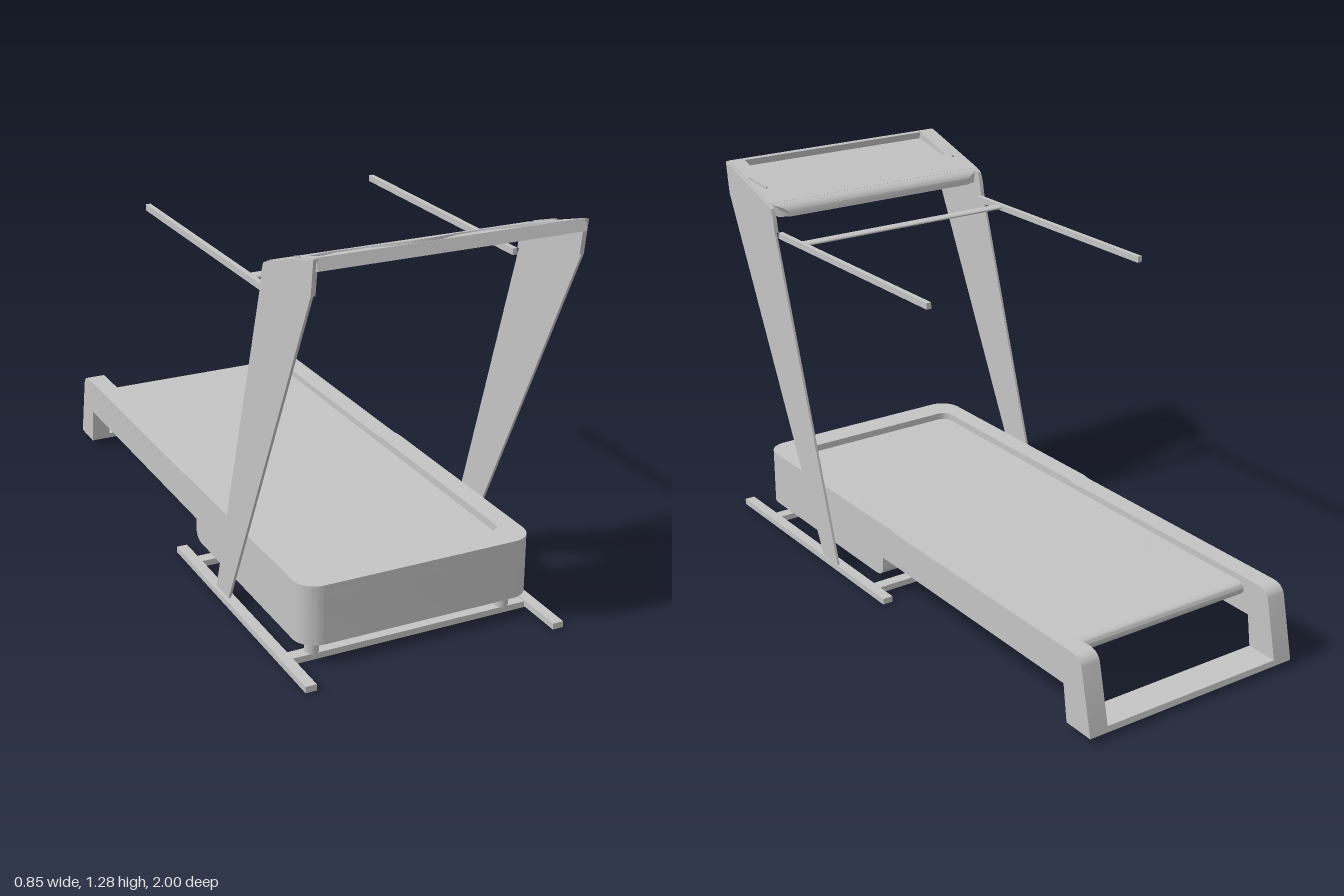
import * as THREE from 'three';
import { toCreasedNormals } from 'three/addons/utils/BufferGeometryUtils.js';

const grey = new THREE.MeshStandardMaterial({ color: 0xc4c4c4 });
grey.name = 'plain grey';

const toShape = (pts) => new THREE.Shape(pts.map(([a, b]) => new THREE.Vector2(a, b)));
const opts = (depth) => ({ depth, bevelEnabled: false, curveSegments: 12 });

export function createModel() {
  const model = new THREE.Group();
  model.name = 'treadmill';
  const upper = new THREE.Group();
  upper.name = 'machine';
  upper.position.x = 0.005;
  model.add(upper);

  function add(name, geo, parent = upper) {
    const mesh = new THREE.Mesh(geo, grey);
    mesh.name = name;
    parent.add(mesh);
    return mesh;
  }
  function box(name, w, h, d, x, y, z, parent = upper) {
    return add(name, new THREE.BoxGeometry(w, h, d).translate(x, y, z), parent);
  }
  // side profile in (z, y), extruded across x and centred on x
  function profileGeometry(shape, width, x) {
    const g = new THREE.ExtrudeGeometry(shape, opts(width));
    return g.rotateY(-Math.PI / 2).translate(x + width / 2, 0, 0);
  }
  function profile(name, shape, width, x) {
    return add(name, toCreasedNormals(profileGeometry(shape, width, x), 0.6));
  }
  // plan outline in (x, z), extruded down from the given top height
  function plan(name, shape, top, height, parent = upper) {
    const g = new THREE.ExtrudeGeometry(shape, opts(height));
    g.rotateX(Math.PI / 2).translate(0, top, 0);
    return add(name, toCreasedNormals(g, 0.6), parent);
  }

  const half = 0.385, inner = 0.32, r = 0.07;

  // motor housing below the belt, with rounded front corners
  const housing = new THREE.Shape();
  housing.moveTo(-half, 0.14);
  housing.lineTo(half, 0.14);
  housing.lineTo(half, 0.87 - r);
  housing.absarc(half - r, 0.87 - r, r, 0, Math.PI / 2, false);
  housing.absarc(-half + r, 0.87 - r, r, Math.PI / 2, Math.PI, false);
  plan('motorHousing', housing, 0.22, 0.15);

  // rounded rear lip of the housing
  const lip = new THREE.Shape();
  lip.moveTo(0.14, 0.07);
  lip.lineTo(0.14, 0.2);
  lip.lineTo(0.095, 0.2);
  lip.lineTo(0.095, 0.11);
  lip.quadraticCurveTo(0.095, 0.07, 0.14, 0.07);
  profile('housingLip', lip, half * 2, 0);

  // frame rim around the front end of the belt
  const rim = new THREE.Shape();
  rim.moveTo(half, 0.6);
  rim.lineTo(half, 0.87 - r);
  rim.absarc(half - r, 0.87 - r, r, 0, Math.PI / 2, false);
  rim.absarc(-half + r, 0.87 - r, r, Math.PI / 2, Math.PI, false);
  rim.lineTo(-half, 0.6);
  rim.lineTo(-inner, 0.6);
  rim.lineTo(-inner, 0.74);
  rim.quadraticCurveTo(-inner, 0.78, -inner + 0.04, 0.78);
  rim.lineTo(inner - 0.04, 0.78);
  rim.quadraticCurveTo(inner, 0.78, inner, 0.74);
  rim.lineTo(inner, 0.6);
  plan('frontRim', rim, 0.26, 0.04);

  // side rails running down into the rear feet
  const rail = new THREE.Shape();
  rail.moveTo(0.6, 0.14);
  rail.lineTo(0.6, 0.26);
  rail.lineTo(0.03, 0.26);
  rail.lineTo(0.0, 0.256);
  rail.lineTo(-0.91, 0.256);
  rail.quadraticCurveTo(-0.945, 0.256, -0.955, 0.225);
  rail.lineTo(-1, 0.02);
  rail.lineTo(-0.89, 0.02);
  rail.lineTo(-0.873, 0.14);
  for (const s of [-1, 1]) profile('sideRail', rail, half - inner, s * (half + inner) / 2);

  // rear crossbar between the feet
  profile('rearCrossbar', toShape([[-1, 0.02], [-0.89, 0.02], [-0.887, 0.038], [-0.996, 0.038]]), inner * 2, 0);

  // thin running belt with a rounded rear end
  const belt = new THREE.Shape();
  belt.moveTo(0.79, 0.195);
  belt.lineTo(0.79, 0.237);
  belt.lineTo(-0.829, 0.237);
  belt.absarc(-0.829, 0.216, 0.021, Math.PI / 2, Math.PI * 1.5, false);
  profile('runningBelt', belt, inner * 2 - 0.004, 0);

  // uprights, console cheeks and handrails
  const upright = toShape([[0.42, 0.015], [0.98, 1.17], [0.69, 1.17], [0.668, 1.1], [0.33, 0.015]]);
  const cheek = toShape([[0.995, 1.275], [0.98, 1.17], [0.668, 1.1], [0.678, 1.15], [0.69, 1.178], [0.715, 1.19]]);
  for (const s of [-1, 1]) {
    profile('upright', upright, 0.008, s * 0.415);
    profile('consoleCheek', cheek, 0.014, s * 0.412);
    box('handrail', 0.016, 0.02, 0.89, s * 0.397, 1.09, 0.225);
  }
  // flattened round bar joining the handrails
  const bar = new THREE.CylinderGeometry(0.02, 0.02, 0.79, 20).rotateZ(Math.PI / 2).scale(1, 0.35, 1);
  add('handrailCrossbar', bar.translate(0, 1.09, 0.54));

  // sloping console
  const deck = new THREE.Group();
  deck.name = 'console';
  deck.position.set(0, 1.19, 0.71);
  deck.rotation.x = -0.301;
  upper.add(deck);
  const outline = [[-0.41, 0.295], [-0.41, 0], [0.41, 0], [0.41, 0.295]];
  const tray = [[-0.355, 0.282], [-0.355, 0.115], [-0.24, 0.055], [-0.14, 0.06], [-0.045, 0.115],
    [0.045, 0.115], [0.14, 0.06], [0.24, 0.055], [0.355, 0.115], [0.355, 0.282]];
  const top = toShape(outline);
  top.holes.push(toShape(tray));
  plan('consoleTop', top, 0, 0.03, deck);
  plan('consoleUnderside', toShape(outline), -0.03, 0.006, deck);

  // display floor, nearly flush at the wavy edge and deeper towards the front
  const floor = new THREE.ExtrudeGeometry(toShape(tray), opts(0.004)).rotateX(Math.PI / 2);
  const p = floor.attributes.position;
  for (let i = 0; i < p.count; i++) p.setY(i, p.getY(i) - 0.004 - 0.09 * (p.getZ(i) - 0.055));
  floor.computeVertexNormals();
  add('displayPanel', floor, deck);

  // small grips on either side of the display
  for (const s of [-1, 1]) {
    const grip = box('consoleGrip', 0.008, 0.006, 0.08, 0, 0, 0, deck);
    grip.position.set(s * 0.385, 0.002, 0.13);
    grip.rotation.y = s * 0.3;
  }

  // rounded rear edge of the console, narrowing at its corners
  const edge = new THREE.Shape();
  edge.moveTo(0.712, 1.19);
  edge.quadraticCurveTo(0.675, 1.182, 0.674, 1.146);
  edge.lineTo(0.69, 1.146);
  edge.lineTo(0.723, 1.156);
  const edgeGeo = profileGeometry(edge, 0.82, 0);
  const e = edgeGeo.attributes.position;
  for (let i = 0; i < e.count; i++) {
    const t = THREE.MathUtils.clamp((0.712 - e.getZ(i)) / 0.038, 0, 1);
    e.setX(i, e.getX(i) * (1 - 0.15 * t * t));
  }
  add('consoleRearEdge', toCreasedNormals(edgeGeo, 0.6));

  // floor stand
  const stand = new THREE.Group();
  stand.name = 'floorStand';
  model.add(stand);
  for (const s of [-1, 1]) {
    box('floorRail', 0.035, 0.02, 0.945, s * 0.409, 0.014, 0.512, stand);
    add('frontFoot', new THREE.CylinderGeometry(0.022, 0.022, 0.06, 20).translate(s * 0.32, 0.045, 0.805), stand);
  }
  for (const z of [0.14, 0.805]) box('floorBar', 0.79, 0.02, 0.04, 0, 0.01, z, stand);

  return model;
}
